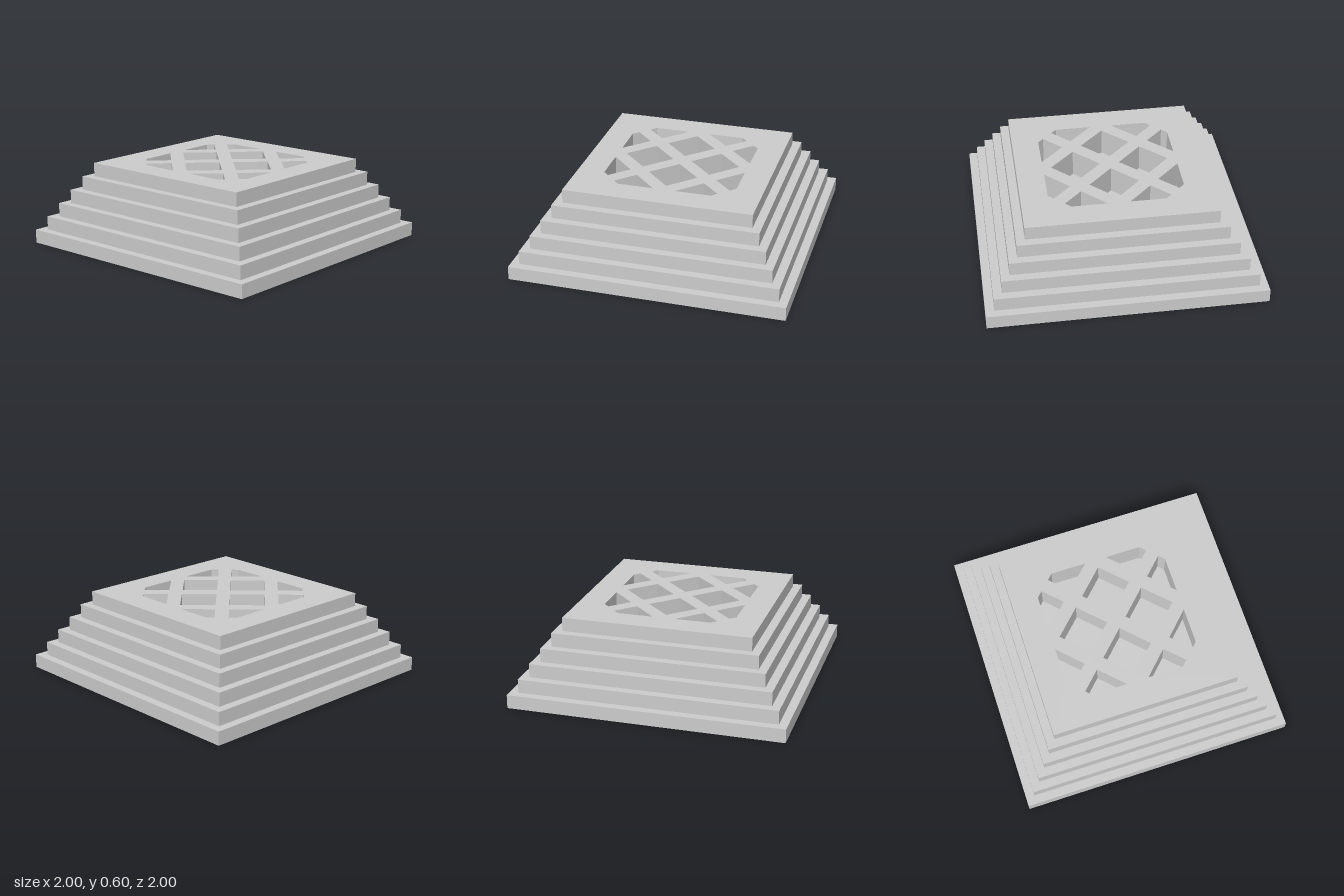
import * as THREE from 'three';

const STEP = 0.1;
const TIERS = 6;

// Openings of the diagonal lattice: four diamonds and eight clipped triangles
function latticeHoles() {
  const holes = [];
  const add = (pts) => holes.push(new THREE.Path(pts.map(([x, y]) => new THREE.Vector2(x, y))));
  const c = 0.25, r = 0.18;
  for (const [x, y] of [[c, 0], [-c, 0], [0, c], [0, -c]]) {
    add([[x + r, y], [x, y + r], [x - r, y], [x, y - r]]);
  }
  const corner = [[0.38, 0.45], [0.34, 0.49], [0.08, 0.49], [0.25, 0.32]];
  for (const sx of [1, -1]) {
    for (const sy of [1, -1]) {
      add(corner.map(([x, y]) => [sx * x, sy * y]));
      add(corner.map(([x, y]) => [sx * y, sy * x]));
    }
  }
  return holes;
}

// Square slab pierced by the lattice openings, standing on y = 0
function piercedSlab(half, height) {
  const shape = new THREE.Shape([
    new THREE.Vector2(-half, -half), new THREE.Vector2(half, -half),
    new THREE.Vector2(half, half), new THREE.Vector2(-half, half),
  ]);
  shape.holes.push(...latticeHoles());
  const geometry = new THREE.ExtrudeGeometry(shape, { depth: height, bevelEnabled: false });
  return geometry.rotateX(-Math.PI / 2);
}

export function createModel() {
  const group = new THREE.Group();
  group.name = 'steppedPlatform';
  const material = new THREE.MeshStandardMaterial({ color: 0xcccccc, flatShading: true });

  // Tiers shrink evenly; the upper two carry the lattice wells
  for (let i = 0; i < TIERS; i++) {
    const half = 1 - i * 0.0625;
    const pierced = i >= TIERS - 2;
    const geometry = pierced
      ? piercedSlab(half, STEP)
      : new THREE.BoxGeometry(half * 2, STEP, half * 2).translate(0, STEP / 2, 0);
    const tier = new THREE.Mesh(geometry, material);
    tier.name = i === TIERS - 1 ? 'latticeTop' : `step${i + 1}`;
    tier.position.y = i * STEP;
    group.add(tier);
  }
  return group;
}
